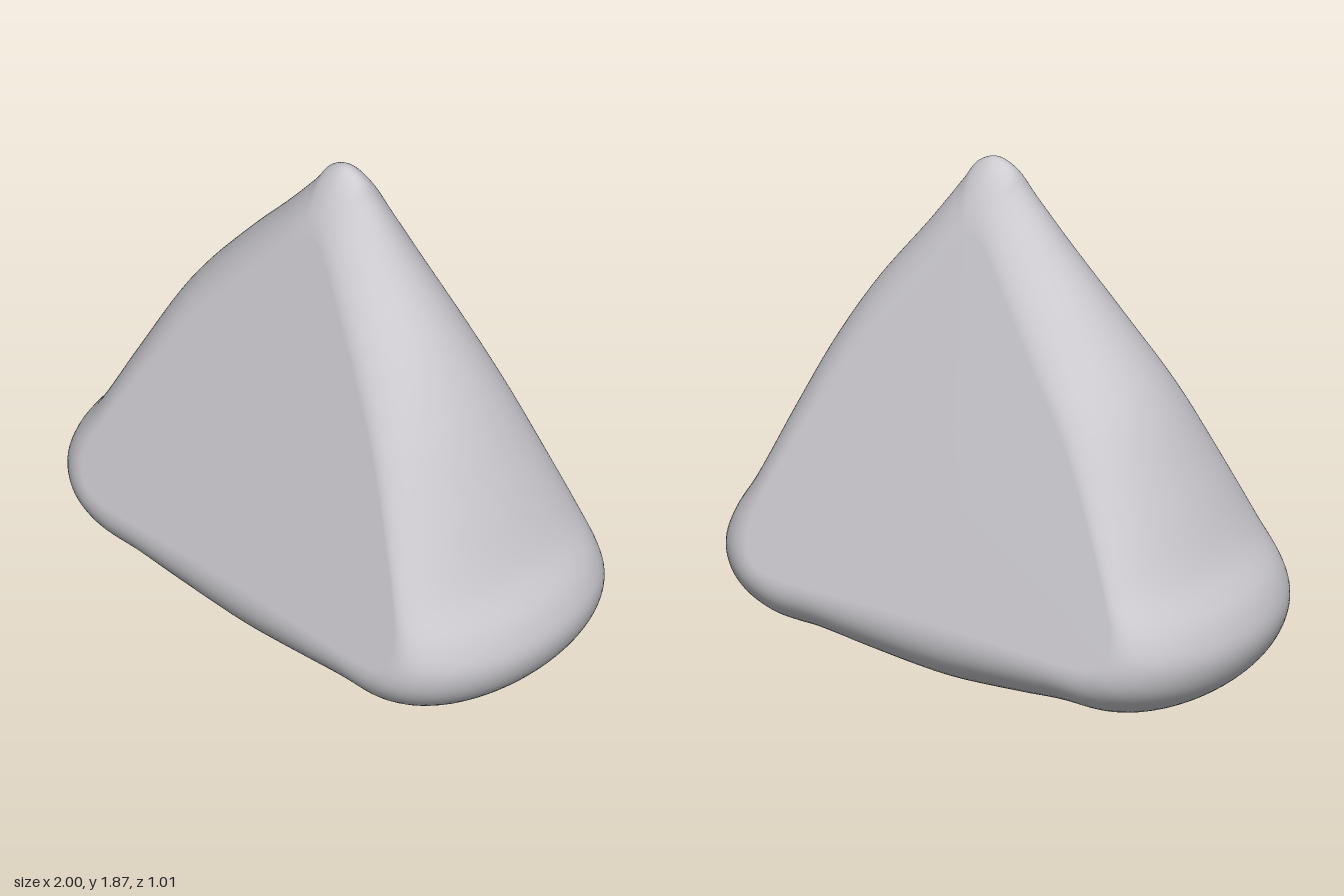
import * as THREE from 'three';

// Each row pairs a silhouette point with the matching rim point of the flat face: [x, y, rimX, rimY]
const OUTLINE = [
  [0, 0.0, 0, 0.33], [0.3, 0.025, 0.3, 0.325], [0.5, 0.05, 0.48, 0.32], [0.72, 0.06, 0.62, 0.32],
  [0.88, 0.13, 0.7, 0.335], [0.97, 0.22, 0.735, 0.365], [1, 0.32, 0.755, 0.41], [0.97, 0.43, 0.755, 0.47],
  [0.88, 0.58, 0.71, 0.6], [0.76, 0.85, 0.6, 0.83], [0.64, 1.1, 0.49, 1.04], [0.5, 1.33, 0.36, 1.24],
  [0.3, 1.59, 0.2, 1.46], [0.17, 1.77, 0.1, 1.59], [0.12, 1.84, 0.07, 1.62], [0.05, 1.87, 0.045, 1.63],
  [-0.02, 1.84, 0.02, 1.62], [-0.07, 1.77, -0.02, 1.59], [-0.2, 1.61, -0.12, 1.46], [-0.4, 1.38, -0.29, 1.24],
  [-0.6, 1.12, -0.45, 1.04], [-0.75, 0.83, -0.59, 0.81], [-0.87, 0.58, -0.7, 0.6], [-0.97, 0.43, -0.755, 0.47],
  [-1, 0.31, -0.755, 0.41], [-0.96, 0.2, -0.735, 0.365], [-0.87, 0.12, -0.7, 0.335], [-0.72, 0.06, -0.62, 0.32],
  [-0.5, 0.05, -0.48, 0.32], [-0.3, 0.025, -0.3, 0.325],
];
const AROUND = 180;
const ACROSS = 40;

const closedCurve = (k) => new THREE.CatmullRomCurve3(
  OUTLINE.map((p) => new THREE.Vector3(p[k], p[k + 1], 0)), true);

// Half depth of the wedge, tapering towards the tip
const halfDepth = (y) => 0.495 - 0.264 * (y - 0.33);

function bodyGeometry() {
  const edge = closedCurve(0);
  const rim = closedCurve(2);
  const positions = [];
  const index = [];

  // Elliptical sweep from the front rim, over the silhouette, to the back rim
  for (let i = 0; i <= ACROSS; i++) {
    const a = (i / ACROSS) * Math.PI;
    for (let j = 0; j < AROUND; j++) {
      const t = j / AROUND;
      const p = rim.getPoint(t).lerp(edge.getPoint(t), Math.sin(a));
      positions.push(p.x, p.y, halfDepth(p.y) * Math.cos(a));
    }
  }
  for (let i = 0; i < ACROSS; i++) {
    for (let j = 0; j < AROUND; j++) {
      const a = i * AROUND + j;
      const b = i * AROUND + (j + 1) % AROUND;
      index.push(a, a + AROUND, b, b, a + AROUND, b + AROUND);
    }
  }

  // Flat front and back faces
  const front = positions.length / 3;
  positions.push(0, 0.75, halfDepth(0.75), 0, 0.75, -halfDepth(0.75));
  const last = ACROSS * AROUND;
  for (let j = 0; j < AROUND; j++) {
    const k = (j + 1) % AROUND;
    index.push(front, j, k, front + 1, last + k, last + j);
  }

  const geometry = new THREE.BufferGeometry();
  geometry.setAttribute('position', new THREE.Float32BufferAttribute(positions, 3));
  geometry.setIndex(index);
  geometry.computeVertexNormals();
  return geometry;
}

export function createModel() {
  const group = new THREE.Group();
  group.name = 'roundedWedge';
  const paleGrey = new THREE.MeshStandardMaterial({ color: 0xcdcbd0 });
  paleGrey.name = 'paleGrey';
  const body = new THREE.Mesh(bodyGeometry(), paleGrey);
  body.name = 'body';
  group.add(body);
  return group;
}
